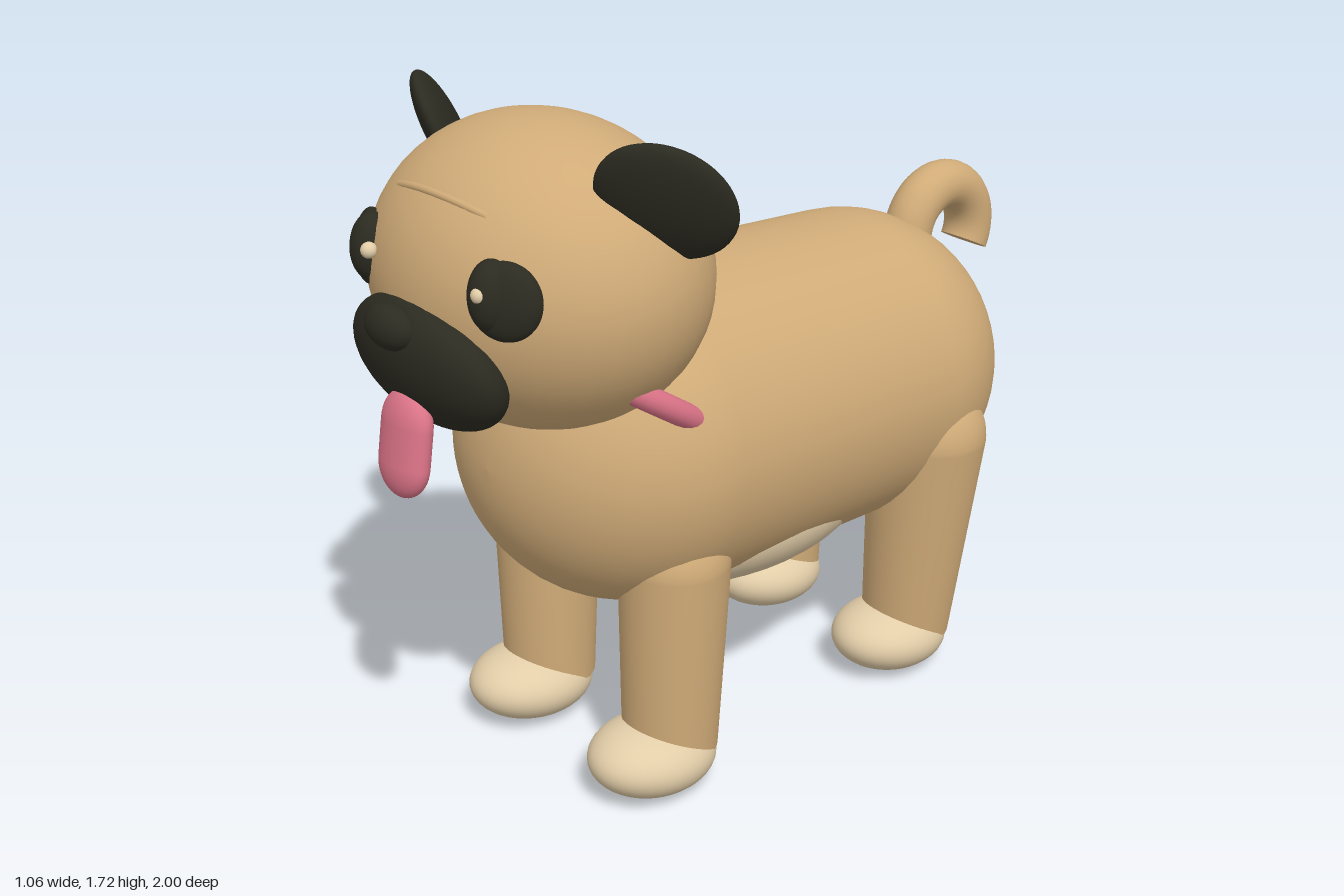
import * as THREE from 'three';

const V = (x, y, z) => new THREE.Vector3(x, y, z);
const material = (name, color) => {
  const m = new THREE.MeshStandardMaterial({ color });
  m.name = name;
  return m;
};

export function createModel() {
  const model = new THREE.Group();
  model.name = 'dog';
  const tan = material('tan fur', 0xd0ab78);
  const cream = material('cream fur', 0xe2cda8);
  const dark = material('dark fur', 0x2c2b21);
  const pink = material('pink', 0xdc7488);

  const add = (name, geometry, mat, parent = model) => {
    const mesh = new THREE.Mesh(geometry, mat);
    mesh.name = name;
    parent.add(mesh);
    return mesh;
  };

  const ellipsoid = (name, mat, pos, radii, rx = 0, ry = 0) => {
    const mesh = add(name, new THREE.SphereGeometry(1, 40, 28), mat);
    mesh.scale.set(...radii);
    mesh.position.set(...pos);
    mesh.rotation.set(rx, ry, 0, 'YXZ');
    return mesh;
  };

  // Tapered capsule from a to b; the start is rounded or cut flat
  const limb = (name, mat, a, ra, b, rb, flatStart) => {
    const length = a.distanceTo(b);
    const points = [];
    const steps = 16;
    if (flatStart) {
      points.push(new THREE.Vector2(0, 0), new THREE.Vector2(ra * 0.96, 0), new THREE.Vector2(ra, 0.008));
    } else {
      for (let i = 0; i <= steps; i++) {
        const t = (i / steps) * Math.PI / 2;
        points.push(new THREE.Vector2(ra * Math.sin(t), -ra * Math.cos(t)));
      }
    }
    for (let i = 0; i <= steps; i++) {
      const t = (i / steps) * Math.PI / 2;
      points.push(new THREE.Vector2(rb * Math.cos(t), length + rb * Math.sin(t)));
    }
    const mesh = add(name, new THREE.LatheGeometry(points, 48), mat);
    mesh.position.copy(a);
    mesh.quaternion.setFromUnitVectors(V(0, 1, 0), b.clone().sub(a).normalize());
    return mesh;
  };

  // Body and belly
  limb('body', tan, V(0, 0.83, -0.475), 0.415, V(0, 0.865, 0.295), 0.425);
  ellipsoid('bellyPatch', cream, [0, 0.61, 0], [0.34, 0.2, 0.48]);

  // Head, muzzle and nose
  const headCentre = V(0, 1.342, 0.542);
  const headRadii = V(0.437, 0.365, 0.372);
  ellipsoid('head', tan, headCentre.toArray(), headRadii.toArray());
  ellipsoid('muzzle', dark, [0, 1.2, 0.86], [0.25, 0.165, 0.1], 0.35);
  ellipsoid('nose', dark, [0, 1.307, 0.956], [0.077, 0.052, 0.044]);

  // Brow wrinkle lying on the head surface
  const browPoints = [];
  for (let i = -4; i <= 4; i++) {
    const x = i * 0.04;
    const y = 1.578 - 0.8 * x * x;
    const s = 1 - (x / headRadii.x) ** 2 - ((y - headCentre.y) / headRadii.y) ** 2;
    browPoints.push(V(x, y, headCentre.z + headRadii.z * Math.sqrt(s) - 0.006 - 0.2 * x * x));
  }
  add('browWrinkle', new THREE.TubeGeometry(new THREE.CatmullRomCurve3(browPoints), 32, 0.01, 10), tan);

  // Tongue hanging from the muzzle
  const tongue = add('tongue', new THREE.CapsuleGeometry(0.082, 0.09, 12, 28), pink);
  tongue.scale.z = 0.5;
  tongue.position.set(0.015, 1.033, 0.947);
  tongue.rotation.x = -0.16;

  // Collar, mostly sunk between head and body
  const collar = add('collar', new THREE.TorusGeometry(0.357, 0.03, 16, 64), pink);
  collar.position.set(0, 1.07, 0.45);
  collar.rotation.x = 0.98;

  for (const s of [1, -1]) {
    const side = s > 0 ? 'left' : 'right';

    // Eyes; both glints sit towards +x
    ellipsoid(side + 'EyePatch', dark, [s * 0.25, 1.4, 0.83], [0.085, 0.088, 0.038], -0.1, s * 0.52);
    ellipsoid(side + 'Eye', dark, [s * 0.222, 1.41, 0.846], [0.052, 0.08, 0.05], -0.1, s * 0.4);
    ellipsoid(side + 'EyeGlint', cream, [s * 0.2 + 0.03, 1.422, s > 0 ? 0.882 : 0.888], [0.019, 0.019, 0.019]);

    // Flat ears turned outwards and leaning forwards
    const along = V(-0.43 * s, 0.63, 0.65).normalize();
    const outward = V(0.72 * s, 0.67, -0.17);
    outward.addScaledVector(along, -outward.dot(along)).normalize();
    const ear = ellipsoid(side + 'Ear', dark, [s * 0.4, 1.583, 0.51], [0.165, 0.145, 0.042]);
    ear.quaternion.setFromRotationMatrix(
      new THREE.Matrix4().makeBasis(along, outward, along.clone().cross(outward)));

    // Legs and paws
    limb(side + 'FrontLeg', tan, V(s * 0.24, 0.1, 0.375), 0.12, V(s * 0.247, 0.615, 0.36), 0.138, true);
    limb(side + 'HindLeg', tan, V(s * 0.25, 0.1, -0.495), 0.12, V(s * 0.283, 0.69, -0.515), 0.157, true);
    ellipsoid(side + 'FrontPaw', cream, [s * 0.243, 0.1, 0.437], [0.143, 0.095, 0.175], -0.1);
    ellipsoid(side + 'HindPaw', cream, [s * 0.243, 0.1, -0.438], [0.143, 0.095, 0.175], -0.1);
  }

  // Curled tail with a flat tip
  const tail = new THREE.Group();
  tail.name = 'tail';
  tail.position.set(0.043, 1.14, -0.805);
  tail.rotation.y = Math.PI / 2;
  model.add(tail);
  const curl = new THREE.Group();
  curl.name = 'tailCurl';
  curl.rotation.z = -0.47;
  tail.add(curl);
  add('tailTube', new THREE.TorusGeometry(0.127, 0.066, 24, 48, 3.9), tan, curl);
  const tip = add('tailTip', new THREE.CircleGeometry(0.066, 24), tan, curl);
  tip.position.x = 0.127;
  tip.rotation.x = Math.PI / 2;

  return model;
}
